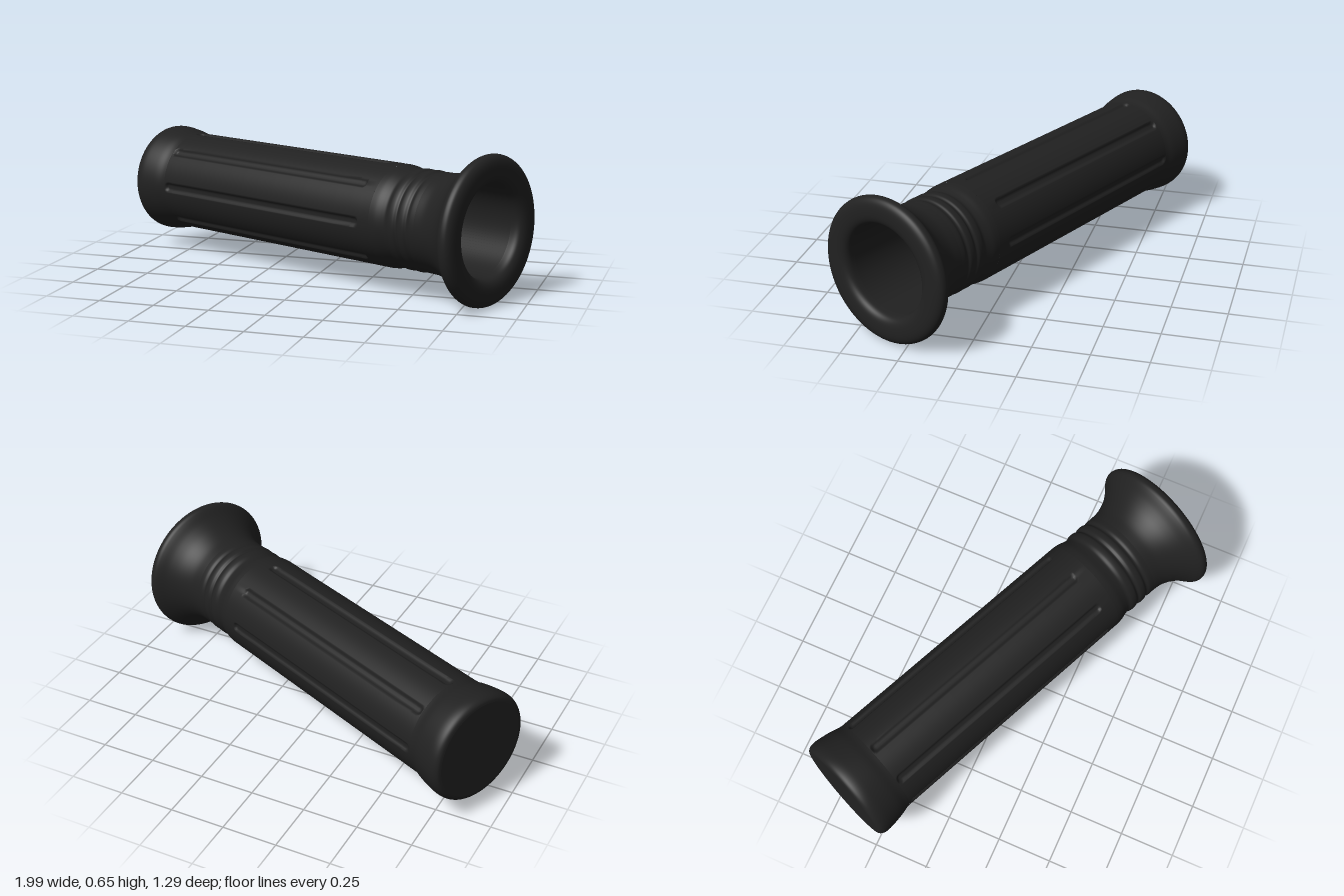
import * as THREE from 'three';
import { mergeVertices } from 'three/addons/utils/BufferGeometryUtils.js';

const rubber = new THREE.MeshStandardMaterial({ color: 0x212121 });
rubber.name = 'black rubber';

const toPoints = (pairs) => pairs.map(([r, t]) => new THREE.Vector2(r, t));
const smooth = (pairs, n) => new THREE.SplineCurve(toPoints(pairs)).getPoints(n)
  .map((p) => new THREE.Vector2(Math.max(p.x, 0), p.y));

function addPart(group, name, geometry) {
  const mesh = new THREE.Mesh(geometry, rubber);
  mesh.name = name;
  group.add(mesh);
}

// Grip sleeve with eight shallow lengthwise grooves, rounded at their ends
function grooveSleeve(radius, bottom, top) {
  const pairs = [];
  const start = -0.81, end = 0.39, count = 8, halfWidth = 0.021, depth = 0.012;
  const rows = [bottom];
  for (let i = 0; i <= 8; i++) rows.push(start + i * 0.006);
  for (let i = 1; i < 12; i++) rows.push(start + 0.048 + (end - start - 0.096) * i / 12);
  for (let i = 8; i >= 0; i--) rows.push(end - i * 0.006);
  rows.push(top);
  rows.forEach((t) => pairs.push([radius, t]));
  const lathe = new THREE.LatheGeometry(toPoints(pairs), 256);
  const pos = lathe.attributes.position;
  const step = Math.PI * 2 / count;
  for (let i = 0; i < pos.count; i++) {
    const t = pos.getY(i);
    const a = Math.atan2(pos.getZ(i), pos.getX(i));
    const across = (a - Math.round(a / step) * step) * radius;
    const along = Math.max(start + halfWidth - t, t - end + halfWidth, 0);
    const d = Math.min(Math.hypot(across, along) / halfWidth, 1);
    const k = 1 - depth * (1 - d ** 4) / radius;
    pos.setX(i, pos.getX(i) * k);
    pos.setZ(i, pos.getZ(i) * k);
  }
  lathe.deleteAttribute('uv');
  lathe.deleteAttribute('normal');
  const merged = mergeVertices(lathe, 1e-5);
  merged.computeVertexNormals();
  return merged;
}

export function createModel() {
  const model = new THREE.Group();
  model.name = 'handlebarGrip';
  const axis = new THREE.Group();
  axis.name = 'gripAxis';

  // Closed end: flat face, rounded edge, swelling that fades into the sleeve
  addPart(axis, 'endFace', new THREE.LatheGeometry(toPoints([[0, -0.999], [0.222, -0.999]]), 96));
  addPart(axis, 'endBulge', new THREE.LatheGeometry(smooth([
    [0.222, -0.999], [0.237, -0.995], [0.248, -0.98], [0.252, -0.955], [0.249, -0.92],
    [0.241, -0.87], [0.232, -0.835], [0.229, -0.815],
  ], 36), 96));

  addPart(axis, 'grooveSleeve', grooveSleeve(0.229, -0.815, 0.45));

  // Neck with raised rings between shallow channels
  addPart(axis, 'ringedNeck', new THREE.LatheGeometry(smooth([
    [0.229, 0.45], [0.226, 0.48], [0.218, 0.51], [0.215, 0.53], [0.221, 0.55],
    [0.221, 0.572], [0.214, 0.588], [0.221, 0.604], [0.221, 0.626], [0.214, 0.642],
    [0.219, 0.66], [0.219, 0.685],
  ], 66), 96));

  // Flared flange and its rounded lip
  addPart(axis, 'flange', new THREE.LatheGeometry(smooth([
    [0.219, 0.685], [0.222, 0.73], [0.233, 0.77], [0.252, 0.81], [0.28, 0.848],
    [0.31, 0.878], [0.322, 0.893], [0.325, 0.908], [0.319, 0.925], [0.302, 0.937],
    [0.275, 0.942], [0.24, 0.94], [0.217, 0.93], [0.205, 0.912], [0.202, 0.885],
  ], 70), 96));

  // Hollow bore for the bar, closed at the far end
  addPart(axis, 'bore', new THREE.LatheGeometry(toPoints([[0.202, 0.885], [0.202, -0.9]]), 96));
  addPart(axis, 'boreFloor', new THREE.LatheGeometry(toPoints([[0.202, -0.9], [0, -0.9]]), 96));

  // Lay the axis along x, then swing the open end forward
  axis.rotation.z = -Math.PI / 2;
  const swing = new THREE.Group();
  swing.name = 'swungGrip';
  swing.add(axis);
  swing.rotation.y = THREE.MathUtils.degToRad(-23.7);
  swing.position.set(0.01, 0.325, -0.023);
  model.add(swing);
  return model;
}
